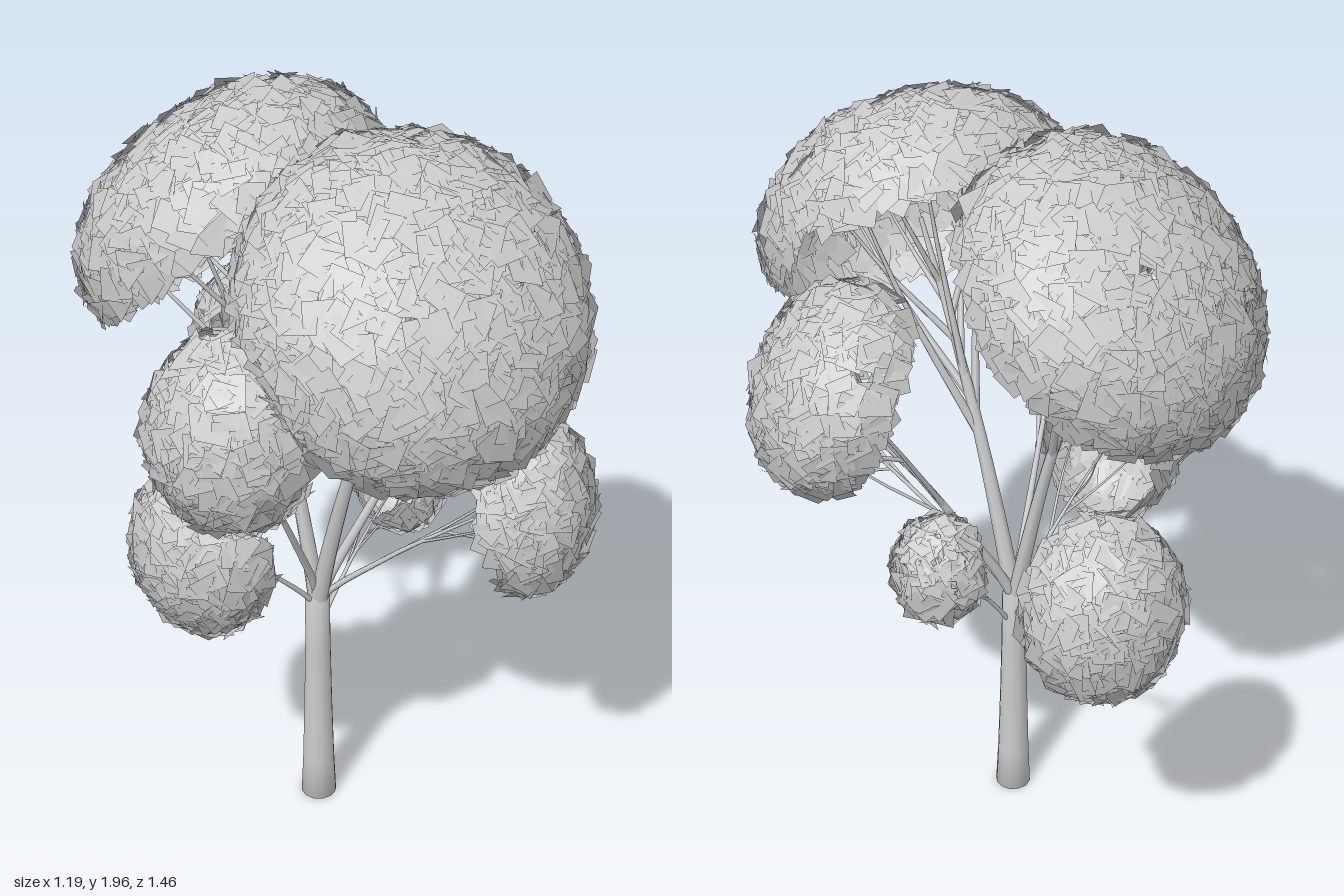
import * as THREE from 'three';
import { mergeGeometries } from 'three/addons/utils/BufferGeometryUtils.js';

const V = (x, y, z) => new THREE.Vector3(x, y, z);

// Small seeded generator
let seed = 7;
function rand(a = 0, b = 1) {
  seed = (seed * 1664525 + 1013904223) % 4294967296;
  return a + (b - a) * seed / 4294967296;
}

// Tube that narrows from r0 to r1 along a smooth path
function taperedTube(points, r0, r1, segments = 10, sides = 7) {
  const curve = new THREE.CatmullRomCurve3(points);
  const geo = new THREE.TubeGeometry(curve, segments, r0, sides);
  const pos = geo.attributes.position, p = V(0, 0, 0);
  for (let i = 0; i <= segments; i++) {
    const t = i / segments, c = curve.getPointAt(t);
    const k = THREE.MathUtils.lerp(1, r1 / r0, t);
    for (let j = 0; j <= sides; j++) {
      const n = i * (sides + 1) + j;
      p.fromBufferAttribute(pos, n).sub(c).multiplyScalar(k).add(c);
      pos.setXYZ(n, p.x, p.y, p.z);
    }
  }
  return { geo, curve };
}

// Leaf domes: rim centre, facing direction, half width, half height, depth,
// how far the dome wraps round (degrees), number of leaves, branch start height and radius
const domes = [
  { name: 'frontCrown', c: [0.09, 1.60, 0.35], n: [0.08, 0.72, 0.69], w: 0.39, h: 0.40, d: 0.28, wrap: 98, leaves: 1300, y: 0.60, r: 0.026 },
  { name: 'backCrown', c: [-0.19, 1.61, -0.18], n: [-0.45, 0.75, -0.50], w: 0.39, h: 0.39, d: 0.27, wrap: 98, leaves: 1300, y: 0.60, r: 0.024 },
  { name: 'leftCluster', c: [0.40, 1.38, 0.00], n: [0.85, 0.45, 0.00], w: 0.24, h: 0.25, d: 0.18, wrap: 100, leaves: 520, y: 0.62, r: 0.016 },
  { name: 'frontLeftCluster', c: [0.35, 1.09, 0.39], n: [0.80, 0.15, 0.52], w: 0.19, h: 0.22, d: 0.16, wrap: 102, leaves: 400, y: 0.62, r: 0.010 },
  { name: 'frontRightCluster', c: [-0.32, 1.38, 0.39], n: [-0.60, 0.20, 0.75], w: 0.19, h: 0.22, d: 0.16, wrap: 102, leaves: 400, y: 0.64, r: 0.012 },
  { name: 'rightCluster', c: [-0.36, 0.95, 0.20], n: [-0.75, 0.00, 0.60], w: 0.18, h: 0.21, d: 0.14, wrap: 102, leaves: 380, y: 0.60, r: 0.009 },
  { name: 'backCluster', c: [-0.04, 1.05, -0.57], n: [0.00, 0.10, -1.00], w: 0.18, h: 0.22, d: 0.16, wrap: 102, leaves: 400, y: 0.56, r: 0.009 },
  { name: 'smallCluster', c: [0.19, 0.87, -0.08], n: [0.85, 0.10, -0.35], w: 0.11, h: 0.13, d: 0.10, wrap: 140, leaves: 220, y: 0.52, r: 0.008 },
];

// Axes of a dome: sideways, upward and outward
function domeBasis(dome) {
  const out = V(...dome.n).normalize();
  const side = V(0, 1, 0).cross(out).normalize();
  return { side, up: out.clone().cross(side), out };
}

// Square leaves lying on a dome, shaded with the dome's own rounded normals
function foliage(dome) {
  const { side, up, out } = domeBasis(dome);
  const centre = V(...dome.c);
  const place = (a, b, c) => V(0, 0, 0)
    .addScaledVector(side, a).addScaledVector(up, b).addScaledVector(out, c);
  const minCos = Math.cos(THREE.MathUtils.degToRad(dome.wrap));
  const positions = [], normals = [], index = [];
  for (let i = 0; i < dome.leaves; i++) {
    const k = rand(minCos, 1), s = Math.sqrt(1 - k * k), a = rand(0, Math.PI * 2);
    const x = s * Math.cos(a), y = s * Math.sin(a);
    const p = place(x * dome.w, y * dome.h, k * dome.d)
      .multiplyScalar(rand(0.96, 1.01)).add(centre);
    const normal = place(x / dome.w, y / dome.h, k / dome.d).normalize();
    // Tilt each leaf a little and spin it about its normal
    const facing = normal.clone()
      .add(V(rand(-1, 1), rand(-1, 1), rand(-1, 1)).multiplyScalar(0.36)).normalize();
    const turn = new THREE.Quaternion().setFromUnitVectors(V(0, 0, 1), facing);
    const spin = rand(0, Math.PI * 2), size = rand(0.042, 0.056);
    for (let q = 0; q < 4; q++) {
      const ang = spin + q * Math.PI / 2;
      const corner = V(Math.cos(ang) * size, Math.sin(ang) * size, 0)
        .applyQuaternion(turn).add(p);
      positions.push(...corner.toArray());
      normals.push(...normal.toArray());
    }
    const o = i * 4;
    index.push(o, o + 1, o + 2, o, o + 2, o + 3);
  }
  const geo = new THREE.BufferGeometry();
  geo.setAttribute('position', new THREE.Float32BufferAttribute(positions, 3));
  geo.setAttribute('normal', new THREE.Float32BufferAttribute(normals, 3));
  geo.setIndex(index);
  return geo;
}

// A limb from the trunk to a dome, with twigs fanning out beneath the leaves
function limb(dome) {
  const { side, up, out } = domeBasis(dome);
  const start = V(-0.05, dome.y, 0.05), end = V(...dome.c);
  const span = end.clone().sub(start);
  const bend = (t, lift) => start.clone().addScaledVector(span, t).add(V(0, lift, 0));
  const steep = span.y > 0.8;
  const main = taperedTube(
    [start.clone().add(V(0, -0.08, 0)), start, bend(0.35, steep ? 0.09 : 0.03),
      bend(0.7, steep ? 0.06 : 0.02), end],
    dome.r, dome.r * 0.22, 16);
  const parts = [main.geo];
  const count = dome.r > 0.02 ? 9 : 4;
  for (let i = 0; i < count; i++) {
    const t = 0.5 + 0.4 * i / count;
    const a = i * 2.4 + 0.5, reach = rand(0.5, 0.75);
    const from = main.curve.getPointAt(t);
    const to = end.clone()
      .addScaledVector(side, Math.cos(a) * dome.w * reach)
      .addScaledVector(up, Math.sin(a) * dome.h * reach)
      .addScaledVector(out, dome.d * 0.5);
    const mid = from.clone().lerp(to, 0.5)
      .add(V(rand(-0.02, 0.02), rand(-0.03, 0.01), rand(-0.02, 0.02)));
    parts.push(taperedTube([from, mid, to], dome.r * (0.75 - 0.5 * t), 0.0015, 7, 5).geo);
  }
  return mergeGeometries(parts);
}

export function createModel() {
  const tree = new THREE.Group();
  tree.name = 'tree';
  const bark = new THREE.MeshStandardMaterial({ color: 0xcccccc });
  const leaf = new THREE.MeshStandardMaterial({ color: 0xcccccc, side: THREE.DoubleSide });
  const add = (name, geo, material) => {
    const mesh = new THREE.Mesh(geo, material);
    mesh.name = name;
    tree.add(mesh);
  };

  // Trunk with a slightly flared foot
  const profile = [[0, 0], [0.047, 0], [0.042, 0.12], [0.037, 0.3], [0.033, 0.5], [0.032, 0.64], [0, 0.68]]
    .map(([r, y]) => new THREE.Vector2(r, y));
  add('trunk', new THREE.LatheGeometry(profile, 12).translate(-0.05, 0, 0.05), bark);

  // Limbs and the leaf domes they carry
  for (const dome of domes) {
    add(dome.name + 'Branches', limb(dome), bark);
    add(dome.name + 'Leaves', foliage(dome), leaf);
  }
  return tree;
}
